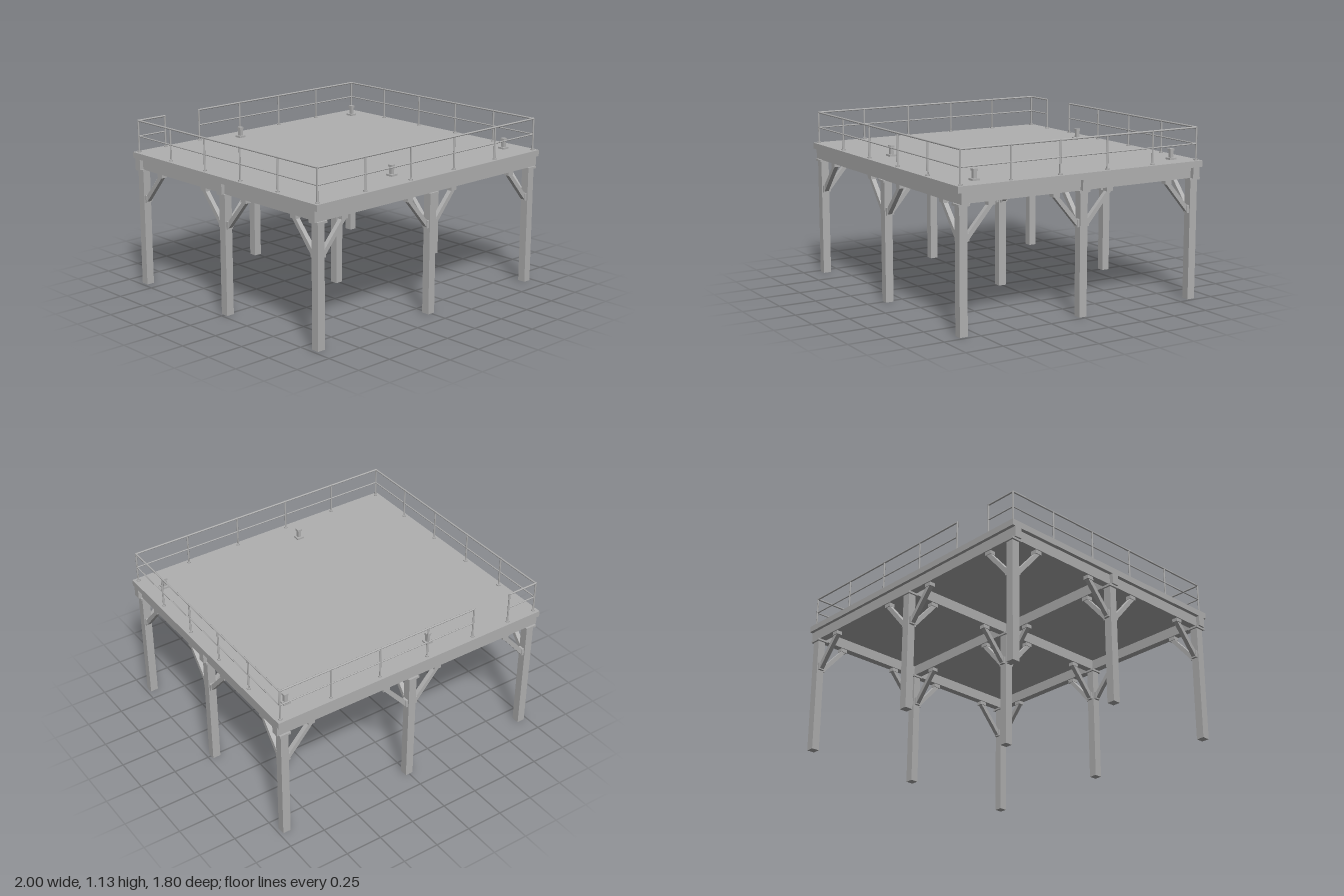
import * as THREE from 'three';

const steel = new THREE.MeshStandardMaterial({ color: 0xb0b0b0 });
steel.name = 'grey steel';

const PX = 0.949, PZ = 0.853;      // post grid
const DECK_TOP = 0.911;
const RX = 0.97, RZ = 0.87;        // railing lines
const UP = new THREE.Vector3(0, 1, 0);

function box(parent, name, w, h, d, x, y, z) {
  const mesh = new THREE.Mesh(new THREE.BoxGeometry(w, h, d), steel);
  mesh.name = name;
  mesh.position.set(x, y, z);
  parent.add(mesh);
  return mesh;
}

function rod(parent, name, a, b, r) {
  const dir = b.clone().sub(a);
  const mesh = new THREE.Mesh(new THREE.CylinderGeometry(r, r, dir.length(), 10), steel);
  mesh.name = name;
  mesh.position.copy(a).add(b).multiplyScalar(0.5);
  mesh.quaternion.setFromUnitVectors(UP, dir.normalize());
  parent.add(mesh);
}

// Diagonal knee brace reaching along local +x, with a plate at each end
function makeBrace() {
  const brace = new THREE.Group();
  brace.name = 'kneeBrace';
  const shape = new THREE.Shape();
  [[0.03, 0.578], [0.042, 0.578], [0.213, 0.776], [0.213, 0.79], [0.184, 0.79], [0.184, 0.783], [0.03, 0.61]]
    .forEach(([x, y], i) => (i ? shape.lineTo(x, y) : shape.moveTo(x, y)));
  const geo = new THREE.ExtrudeGeometry(shape, { depth: 0.03, bevelEnabled: false });
  geo.translate(0, 0, -0.015);
  const bar = new THREE.Mesh(geo, steel);
  bar.name = 'braceBar';
  brace.add(bar);
  box(brace, 'braceFoot', 0.018, 0.05, 0.04, 0.035, 0.597, 0);
  box(brace, 'braceHead', 0.048, 0.024, 0.04, 0.198, 0.787, 0);
  return brace;
}

// Straight run of railing: a to b in [x, z], with uprights at the given points
function railing(parent, name, a, b, points) {
  const run = new THREE.Group();
  run.name = name;
  const at = ([x, z], y) => new THREE.Vector3(x, y, z);
  rod(run, 'topRail', at(a, 1.123), at(b, 1.123), 0.006);
  rod(run, 'midRail', at(a, 1.018), at(b, 1.018), 0.0045);
  for (const p of points) {
    rod(run, 'railPost', at(p, DECK_TOP), at(p, 1.128), 0.006);
    rod(run, 'railPostBase', at(p, DECK_TOP), at(p, DECK_TOP + 0.008), 0.013);
  }
  parent.add(run);
}

export function createModel() {
  const model = new THREE.Group();
  model.name = 'raisedPlatform';

  box(model, 'deck', 2, DECK_TOP - 0.87, 1.8, 0, (DECK_TOP + 0.87) / 2, 0);

  // Long beams, with cross beams fitted between them
  for (const i of [-1, 0, 1]) {
    box(model, 'longBeam', 2, 0.071, 0.05, 0, 0.8355, i * PZ);
    for (const s of [-1, 1])
      box(model, 'crossBeam', 0.05, 0.07, PZ - 0.05, i * PX, 0.835, s * PZ / 2);
  }

  // Nine posts with caps; braces point towards each neighbouring post
  for (const i of [-1, 0, 1]) for (const k of [-1, 0, 1]) {
    const post = new THREE.Group();
    post.name = 'postAssembly';
    post.position.set(i * PX, 0, k * PZ);
    box(post, 'post', 0.054, 0.79, 0.054, 0, 0.395, 0);
    box(post, 'postCap', 0.078, 0.014, 0.078, 0, 0.794, 0);
    for (const [dx, dz] of [[1, 0], [-1, 0], [0, 1], [0, -1]]) {
      if (Math.abs(i + dx) > 1 || Math.abs(k + dz) > 1) continue;
      const brace = makeBrace();
      brace.rotation.y = Math.atan2(-dz, dx);
      post.add(brace);
    }
    model.add(post);
  }

  // Guard rails, with an access gap at the back
  railing(model, 'frontRailing', [-RX, RZ], [RX, RZ], [-RX, -0.583, -0.195, 0.195, 0.583, RX].map(x => [x, RZ]));
  for (const s of [-1, 1])
    railing(model, s > 0 ? 'leftRailing' : 'rightRailing', [s * RX, -RZ], [s * RX, RZ],
      [-RZ, -0.523, -0.174, 0.174, 0.523].map(z => [s * RX, z]));
  railing(model, 'backRailingLong', [-0.468, -RZ], [RX, -RZ], [-0.468, -0.11, 0.249, 0.61].map(x => [x, -RZ]));
  railing(model, 'backRailingShort', [-RX, -RZ], [-0.754, -RZ], [[-0.754, -RZ]]);

  // Short pedestals on the deck
  for (const x of [-0.2, 0.86]) for (const z of [-0.755, 0.71]) {
    const stand = new THREE.Group();
    stand.name = 'pedestal';
    stand.position.set(x, DECK_TOP, z);
    box(stand, 'pedestalBase', 0.05, 0.012, 0.05, 0, 0.006, 0);
    box(stand, 'pedestalStem', 0.023, 0.05, 0.023, 0, 0.035, 0);
    box(stand, 'pedestalHead', 0.031, 0.014, 0.031, 0, 0.064, 0);
    model.add(stand);
  }
  return model;
}
